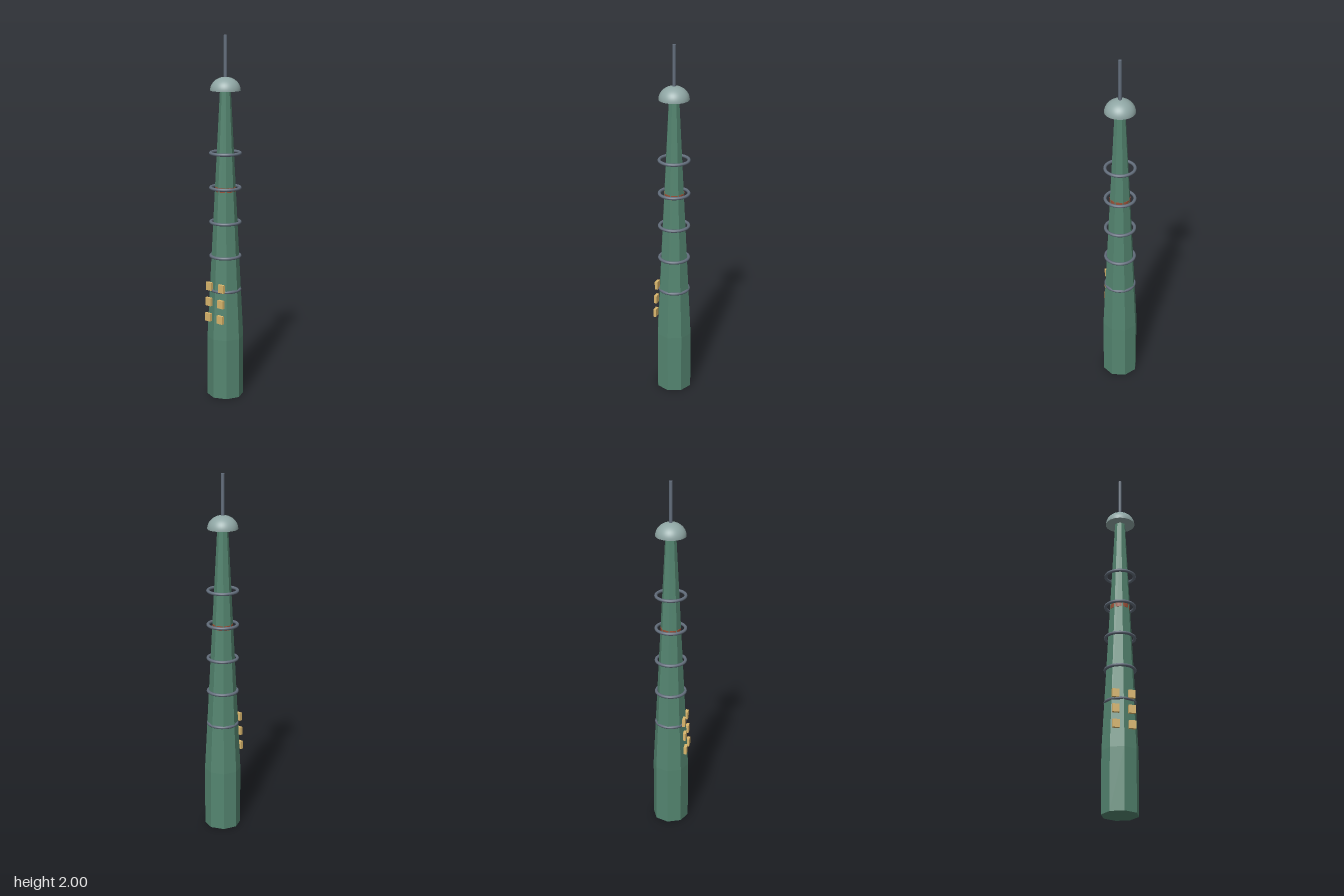
import * as THREE from 'three';

const mat = (name, color, extra = {}) => {
  const m = new THREE.MeshStandardMaterial({ color, ...extra });
  m.name = name;
  return m;
};

export function createModel() {
  const green = mat('towerGreen', 0x548570, { flatShading: true });
  const steel = mat('steelGrey', 0x626d7b);
  const pale = mat('domeGrey', 0x8fa6a4);
  const amber = mat('windowAmber', 0xd9b66c);
  const rust = mat('bandRust', 0x9a5238);

  const tower = new THREE.Group();
  tower.name = 'tower';
  const add = (name, geometry, material, x = 0, y = 0, z = 0) => {
    const mesh = new THREE.Mesh(geometry, material);
    mesh.name = name;
    mesh.position.set(x, y, z);
    tower.add(mesh);
    return mesh;
  };

  // Eight-sided shaft: straight base, then a long taper
  const kink = 0.34, shaftTop = 1.715;
  add('base', new THREE.CylinderGeometry(0.1, 0.1, kink, 8), green, 0, kink / 2);
  add('shaft', new THREE.CylinderGeometry(0.029, 0.1, shaftTop - kink, 8, 1, true), green,
    0, (kink + shaftTop) / 2);

  // Round band that just breaks through the flat faces
  add('band', new THREE.CylinderGeometry(0.0555, 0.0555, 0.025, 32), rust, 0, 1.175);

  // Evenly spaced hoops
  const hoop = new THREE.TorusGeometry(0.08, 0.0085, 12, 48).rotateX(Math.PI / 2);
  for (let i = 0; i < 5; i++) add('hoop', hoop, steel, 0, 0.612 + i * 0.19);

  // Two columns of windows following the taper
  const pane = new THREE.BoxGeometry(0.038, 0.045, 0.016);
  for (const x of [-0.044, 0.044]) {
    for (let i = 0; i < 3; i++) add('window', pane, amber, x, 0.462 + i * 0.087, 0.093 - i * 0.005);
  }

  // Slightly flattened dome with a closed underside
  const dome = new THREE.SphereGeometry(0.082, 40, 16, 0, Math.PI * 2, 0, Math.PI / 2);
  add('dome', dome.scale(1, 0.88, 1), pale, 0, 1.708);
  add('domeUnderside', new THREE.CircleGeometry(0.082, 40).rotateX(Math.PI / 2), pale, 0, 1.708);

  // Antenna
  add('antenna', new THREE.CylinderGeometry(0.009, 0.009, 0.23, 16), steel, 0, 1.885);

  return tower;
}
